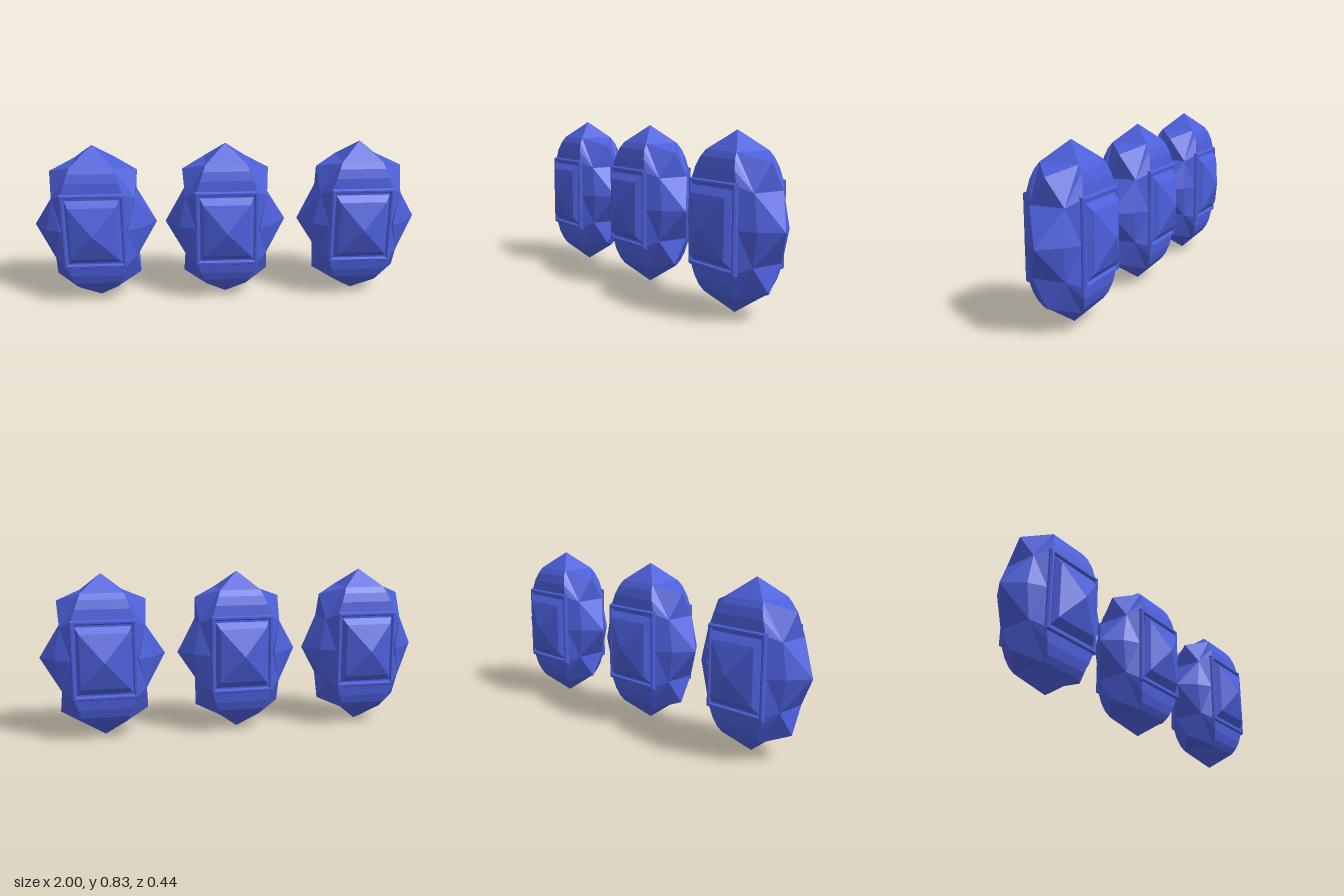
import * as THREE from 'three';
import { ConvexGeometry } from 'three/addons/geometries/ConvexGeometry.js';

// Repeat each point in every mirrored octant, skipping duplicates on the axes
function mirrored(points, axes = [true, true, true]) {
  const found = new Map();
  const signs = (v, on) => (on && v !== 0 ? [1, -1] : [1]);
  for (const [x, y, z] of points)
    for (const sx of signs(x, axes[0]))
      for (const sy of signs(y, axes[1]))
        for (const sz of signs(z, axes[2])) {
          const p = new THREE.Vector3(x * sx, y * sy, z * sz);
          found.set(p.toArray().join(), p);
        }
  return [...found.values()];
}

const hull = (points, axes) => new ConvexGeometry(mirrored(points, axes));

// Rectangle centred on the origin
function rectangle(Type, w, h) {
  return new Type([[-w, -h], [w, -h], [w, h], [-w, h]].map(([x, y]) => new THREE.Vector2(x, y)));
}

export function createModel() {
  const blue = new THREE.MeshStandardMaterial({ color: 0x4c60dc, flatShading: true });
  blue.name = 'crystal blue';
  const model = new THREE.Group();
  model.name = 'crystals';

  // Faceted body, rounded towards the top and bottom
  const coreGeo = hull([
    [0.105, 0.327, 0.095], [0.118, 0.297, 0.115], [0.135, 0.252, 0.13],
    [0.155, 0.19, 0.138], [0.21, 0.16, 0.085],
  ]);

  // Pointed spikes around the rim
  const topGeo = hull([[0, 0.417, 0], [0.105, 0.327, 0.095], [0, 0.28, 0]], [true, false, true]);
  const sideGeo = hull([
    [0.315, 0, 0], [0.21, 0.16, 0.085], [0.242, 0, 0.093], [0.168, 0, 0.138], [0.12, 0, 0],
  ], [false, true, true]);
  const cornerGeo = hull([
    [0.222, 0.285, 0], [0.105, 0.327, 0.095], [0.21, 0.16, 0.085], [0.1, 0.2, 0],
  ], [false, false, true]);
  const cornerLeftGeo = hull([
    [-0.222, 0.285, 0], [-0.105, 0.327, 0.095], [-0.21, 0.16, 0.085], [-0.1, 0.2, 0],
  ], [false, false, true]);

  // Raised rectangular setting with a bevelled rim
  const rim = rectangle(THREE.Shape, 0.156, 0.194);
  rim.holes.push(rectangle(THREE.Path, 0.146, 0.184));
  const frameGeo = new THREE.ExtrudeGeometry(rim, {
    depth: 0.05, bevelEnabled: true, bevelSize: 0.006, bevelThickness: 0.01, bevelSegments: 1,
  });
  frameGeo.translate(0, 0, 0.09);

  // Cut stone held by the setting
  const stoneGeo = hull([
    [0.136, 0.168, 0.1], [0.136, 0.168, 0.143], [0.118, 0.137, 0.171], [0, 0, 0.219],
  ], [true, true, false]);

  [-0.685, -0.01, 0.685].forEach((x, i) => {
    const crystal = new THREE.Group();
    crystal.name = ['rightCrystal', 'middleCrystal', 'leftCrystal'][i];
    crystal.position.set(x, 0.4175, 0);
    const add = (name, geo, rx = 0, ry = 0, rz = 0) => {
      const mesh = new THREE.Mesh(geo, blue);
      mesh.name = name;
      mesh.rotation.set(rx, ry, rz);
      crystal.add(mesh);
    };
    add('body', coreGeo);
    add('topSpike', topGeo);
    add('bottomSpike', topGeo, Math.PI);
    add('leftSpike', sideGeo);
    add('rightSpike', sideGeo, 0, Math.PI);
    add('upperLeftSpike', cornerGeo);
    add('upperRightSpike', cornerLeftGeo);
    add('lowerLeftSpike', cornerGeo, Math.PI);
    add('lowerRightSpike', cornerLeftGeo, Math.PI);
    for (const [side, turn] of [['front', 0], ['back', Math.PI]]) {
      add(side + 'Setting', frameGeo, 0, turn);
      add(side + 'Stone', stoneGeo, 0, turn);
    }
    model.add(crystal);
  });
  return model;
}
